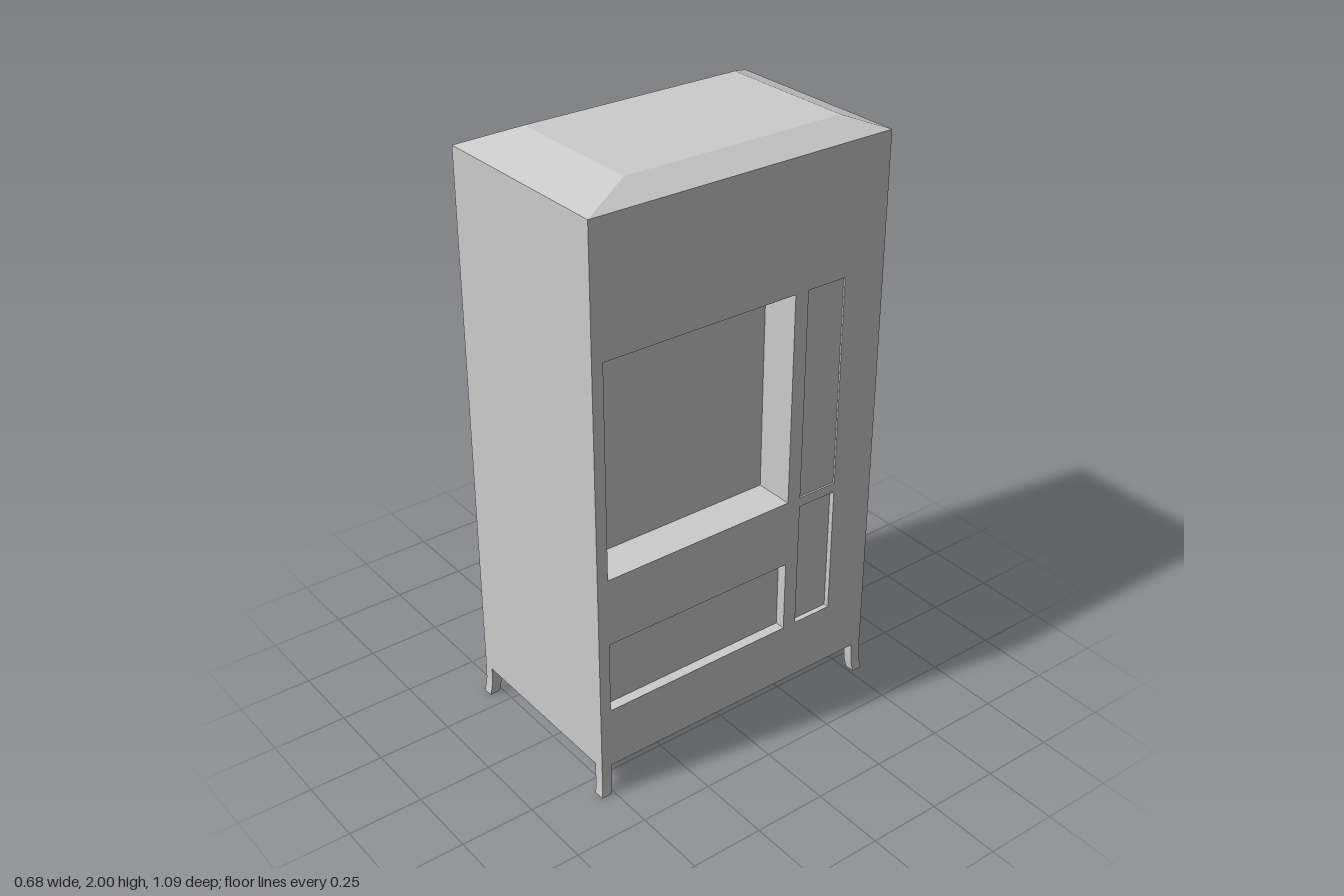
import * as THREE from 'three';

const W = 0.67, D = 1.08, BOTTOM = 0.11, TOP = 1.955;
const X = W / 2, Z = D / 2;

// Box without its +x side; optionally turned inside out
function openBox(w, h, d, inward) {
  const geo = new THREE.BoxGeometry(w, h, d);
  const idx = Array.from(geo.index.array).slice(6);
  geo.setIndex(inward ? idx.reverse() : idx);
  geo.clearGroups();
  const flat = geo.toNonIndexed();
  flat.computeVertexNormals();
  return flat;
}

export function createModel() {
  const model = new THREE.Group();
  model.name = 'vendingMachine';
  const grey = new THREE.MeshStandardMaterial({ color: 0xcccccc });
  grey.name = 'lightGrey';

  const add = (name, geo, x = 0, y = 0, z = 0) => {
    const mesh = new THREE.Mesh(geo, grey);
    mesh.name = name;
    mesh.position.set(x, y, z);
    model.add(mesh);
    return mesh;
  };

  // Cabinet walls, floor and ceiling
  add('cabinet', openBox(W, TOP - BOTTOM, D, false), 0, (TOP + BOTTOM) / 2, 0);

  // Recesses in the service side: z range, y range, depth
  const recesses = [
    { name: 'displayWindow', z: [-0.19, 0.502], y: [0.805, 1.525], depth: 0.135 },
    { name: 'collectionSlot', z: [-0.19, 0.502], y: [0.323, 0.572], depth: 0.035 },
    { name: 'controlPanel', z: [-0.384, -0.24], y: [0.805, 1.525], depth: 0.006 },
    { name: 'coinPanel', z: [-0.384, -0.24], y: [0.323, 0.772], depth: 0.018 },
  ];

  // Service side with openings; shape x runs along -z
  const rect = (path, u0, v0, u1, v1) =>
    path.moveTo(u0, v0).lineTo(u1, v0).lineTo(u1, v1).lineTo(u0, v1).closePath();
  const face = new THREE.Shape();
  rect(face, -Z, BOTTOM, Z, TOP);
  for (const r of recesses) {
    const hole = new THREE.Path();
    rect(hole, -r.z[1], r.y[0], -r.z[0], r.y[1]);
    face.holes.push(hole);
    add(r.name, openBox(r.depth, r.y[1] - r.y[0], r.z[1] - r.z[0], true),
      X - r.depth / 2, (r.y[0] + r.y[1]) / 2, (r.z[0] + r.z[1]) / 2);
  }
  add('servicePanel', new THREE.ShapeGeometry(face).rotateY(Math.PI / 2), X);

  // Bevelled roof: the top of a box pulled inwards
  const roof = new THREE.BoxGeometry(W, 2 - TOP, D);
  const p = roof.attributes.position;
  for (let i = 0; i < p.count; i++) {
    if (p.getY(i) > 0) {
      p.setX(i, Math.sign(p.getX(i)) * 0.242);
      p.setZ(i, p.getZ(i) > 0 ? 0.355 : -0.42);
    }
  }
  const flatRoof = roof.toNonIndexed();
  flatRoof.computeVertexNormals();
  add('roof', flatRoof, 0, (2 + TOP) / 2, 0);

  // Feet that flare outwards near the ground
  const size = 0.036;
  for (const sx of [-1, 1]) {
    for (const sz of [-1, 1]) {
      const leg = new THREE.BoxGeometry(size, BOTTOM, size, 1, 4, 1);
      leg.translate(sx * (X - size / 2), BOTTOM / 2, sz * (Z - size / 2));
      const q = leg.attributes.position;
      for (let i = 0; i < q.count; i++) {
        const flare = 0.007 * Math.pow(1 - q.getY(i) / BOTTOM, 3);
        q.setX(i, q.getX(i) + sx * flare);
        q.setZ(i, q.getZ(i) + sz * flare);
      }
      const flat = leg.toNonIndexed();
      flat.computeVertexNormals();
      add((sz > 0 ? 'front' : 'back') + (sx > 0 ? 'Left' : 'Right') + 'Foot', flat);
    }
  }
  return model;
}
